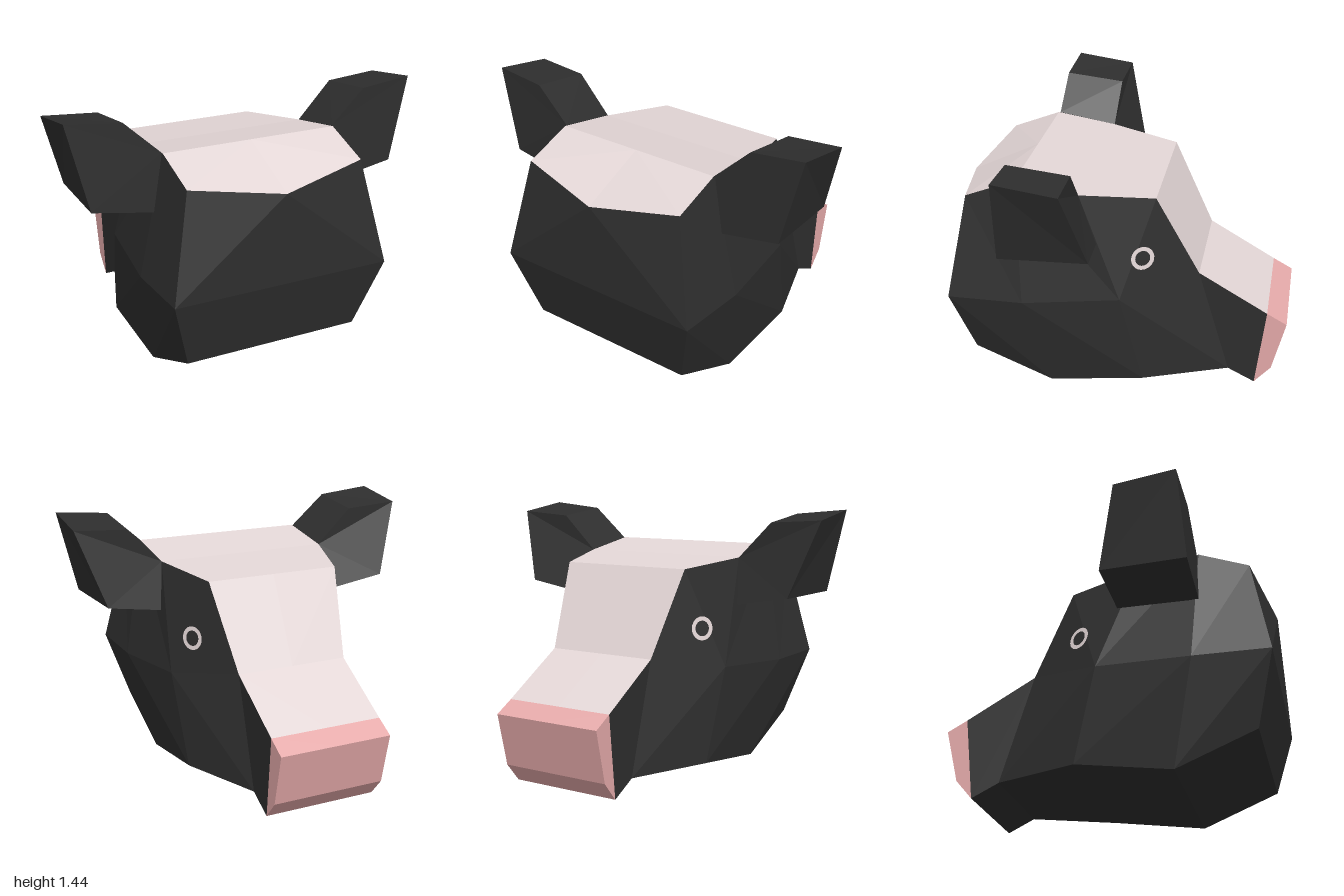
import * as THREE from 'three';

const mat = (name, color) => {
  const m = new THREE.MeshStandardMaterial({ color });
  m.name = name;
  return m;
};

// Flat facets from polygons on the +x side, turned to face away from a centre point
function facets(name, polys, centre, material, mirror) {
  const pos = [];
  const c = new THREE.Vector3(...centre);
  for (const sign of mirror ? [1, -1] : [1]) {
    for (const poly of polys) {
      const pts = poly.map(([x, y, z]) => new THREE.Vector3(x * sign, y, z));
      for (let i = 1; i < pts.length - 1; i++) {
        const tri = [pts[0], pts[i], pts[i + 1]];
        const n = new THREE.Triangle(...tri).getNormal(new THREE.Vector3());
        const mid = tri[0].clone().add(tri[1]).add(tri[2]).divideScalar(3).sub(c);
        if (n.dot(mid) < 0) tri.reverse();
        tri.forEach((p) => pos.push(p.x, p.y, p.z));
      }
    }
  }
  const g = new THREE.BufferGeometry();
  g.setAttribute('position', new THREE.Float32BufferAttribute(pos, 3));
  g.computeVertexNormals();
  const mesh = new THREE.Mesh(g, material);
  mesh.name = name;
  return mesh;
}

// Half strips running from a line of edge points in to the centre line
const onAxis = ([, y, z]) => [0, y, z];
const strips = (line) => line.slice(1).map((b, i) => [line[i], b, onAxis(b), onAxis(line[i])]);

export function createModel() {
  const dark = mat('charcoal fur', 0x2e2e2e);
  const pale = mat('pale fur', 0xe3d6d6);
  const pink = mat('pink nose', 0xe5aaaa);
  const model = new THREE.Group();
  model.name = 'animalHead';

  // Edge lines of the head from back to snout: top, cheek and jaw
  const T = [[0.5, 1.13, 0.81], [0.5, 1.235, 0.54], [0.5, 1.18, 0.2],
    [0.385, 1.14, -0.19], [0.32, 0.68, -0.42], [0.32, 0.46, -0.8]];
  const M = [[0.617, 0.57, 0.91], [0.617, 0.57, 0.5], [0.545, 0.6, -0.02]];
  const B = [[0.5, 0.19, 0.81], [0.5, 0.01, 0.38], [0.5, 0.08, -0.14],
    [0.32, 0.08, -0.6], [0.32, 0.005, -0.75]];
  const crown = [0, 1.06, 0.91];
  const centre = [0, 0.5, 0];

  // Dark sides, back and underside
  model.add(facets('headSides', [
    [T[0], T[1], M[1], M[0]], [T[1], T[2], M[2], M[1]],
    [T[2], T[3], M[2]], [T[3], T[4], M[2]], [T[4], B[3], M[2]],
    [M[2], B[3], B[2]], [M[1], M[2], B[2], B[1]], [M[0], M[1], B[1], B[0]],
    [T[4], T[5], B[4], B[3]],
  ], centre, dark, true));
  model.add(facets('headBack', [
    [crown, T[0], M[0], onAxis(M[0])], ...strips([M[0], B[0]]),
  ], centre, dark, true));
  model.add(facets('jawUnderside', strips(B), centre, dark, true));

  // Pale blaze over the crown, brow and snout
  model.add(facets('blaze', [
    [T[0], T[1], onAxis(T[1]), crown], ...strips(T.slice(1)),
  ], centre, pale, true));

  // Nose block
  const N = [T[5], [0.32, 0.4, -0.91], [0.32, 0.11, -0.84], B[4]];
  model.add(facets('nose', [N, ...strips(N)], [0, 0.25, -0.78], pink, true));

  // Ears: one five-sided outline at the rear, one at the front
  const rear = [[0.5, 1.235, 0.53], [0.7, 1.415, 0.52], [1, 1.445, 0.51],
    [0.885, 0.985, 0.535], [0.55, 0.93, 0.54]];
  const front = [[0.5, 1.18, 0.2], [0.7, 1.38, 0.19], [1, 1.4, 0.18],
    [0.86, 0.985, 0.075], [0.55, 0.93, 0.1]];
  const ear = [rear, front];
  rear.forEach((p, i) => {
    const j = (i + 1) % rear.length;
    ear.push([p, rear[j], front[j], front[i]]);
  });
  const earL = facets('leftEar', ear, [0.74, 1.17, 0.32], dark, false);
  const flipped = ear.map((poly) => poly.map(([x, y, z]) => [-x, y, z]));
  const earR = facets('rightEar', flipped, [-0.74, 1.17, 0.32], dark, false);
  model.add(earL, earR);

  // Thin eye rings lying on the cheeks
  for (const s of [1, -1]) {
    const ring = new THREE.Mesh(new THREE.RingGeometry(0.042, 0.065, 24), pale);
    const n = new THREE.Vector3(s, 0.137, -0.535).normalize();
    ring.quaternion.setFromUnitVectors(new THREE.Vector3(0, 0, 1), n);
    ring.position.set(s * 0.458, 0.82, -0.13).addScaledVector(n, 0.005);
    ring.name = s > 0 ? 'leftEyeRing' : 'rightEyeRing';
    model.add(ring);
  }
  return model;
}
